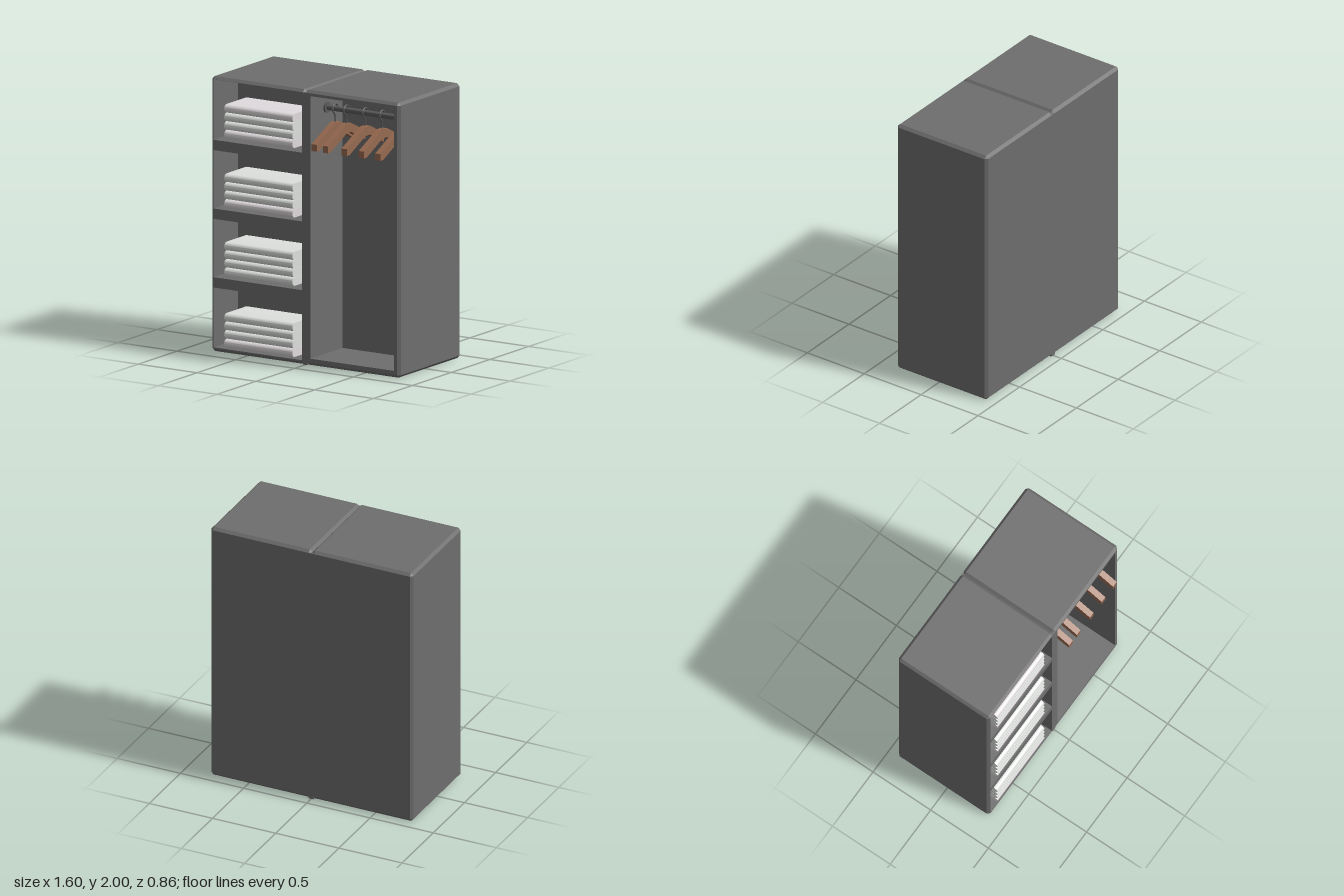
import * as THREE from 'three';
import { toCreasedNormals } from 'three/addons/utils/BufferGeometryUtils.js';

const FRONT = 0.365, BACK = -0.43, C = 0.02; // C: chamfer of the cabinet edges
const mat = (name, color) => Object.assign(new THREE.MeshStandardMaterial({ color }), { name });

function add(parent, name, geometry, material, x = 0, y = 0, z = 0) {
  const mesh = new THREE.Mesh(geometry, material);
  mesh.name = name;
  mesh.position.set(x, y, z);
  parent.add(mesh);
  return mesh;
}

// Box between two corners
function boxBetween(x0, x1, y0, y1, z0, z1) {
  return new THREE.BoxGeometry(x1 - x0, y1 - y0, z1 - z0)
    .translate((x0 + x1) / 2, (y0 + y1) / 2, (z0 + z1) / 2);
}

function rectPath(Type, x0, x1, y0, y1) {
  return new Type([[x0, y0], [x1, y0], [x1, y1], [x0, y1]].map(p => new THREE.Vector2(...p)));
}

// Chamfered box, open at the front, lofted from four rings
function chamferedShell(x0, x1, y0, y1) {
  const a = x0 + C, b = x1 - C, c = y0 + C, d = y1 - C;
  const full = [[x1, c], [x1, d], [b, y1], [a, y1], [x0, d], [x0, c], [a, y0], [b, y0]];
  const inset = [[b, c], [b, d], [b, d], [a, d], [a, d], [a, c], [a, c], [b, c]];
  const rings = [[inset, BACK], [full, BACK + C], [full, FRONT - C], [inset, FRONT]];
  const pos = [], index = [0, 5, 3, 0, 3, 1];
  for (const [ring, z] of rings) for (const [x, y] of ring) pos.push(x, y, z);
  for (let i = 0; i < 3; i++) {
    for (let j = 0; j < 8; j++) {
      const k = (j + 1) % 8, p = i * 8, q = p + 8;
      index.push(p + j, p + k, q + k, p + j, q + k, q + j);
    }
  }
  const g = new THREE.BufferGeometry();
  g.setAttribute('position', new THREE.Float32BufferAttribute(pos, 3));
  g.setIndex(index);
  const flat = g.toNonIndexed();
  flat.computeVertexNormals();
  return flat;
}

// One cabinet unit: outer shell, front frame with openings, inner back panel
function cabinetUnit(name, x0, x1, openings, depth, material) {
  const unit = new THREE.Group();
  unit.name = name;
  add(unit, 'shell', chamferedShell(x0, x1, 0, 2), material);
  const face = rectPath(THREE.Shape, x0 + C, x1 - C, C, 2 - C);
  for (const o of openings) face.holes.push(rectPath(THREE.Path, ...o));
  const frame = new THREE.ExtrudeGeometry(face, { depth, bevelEnabled: false });
  add(unit, 'frameAndShelves', frame, material, 0, 0, FRONT - depth);
  const z = FRONT - depth;
  add(unit, 'innerBack', boxBetween(x0 + C, x1 - C, C, 2 - C, z - 0.02, z), material);
  return unit;
}

// Extrude a (z, y) profile along x, centred
function extrudeX(shape, width) {
  return new THREE.ExtrudeGeometry(shape, { depth: width, bevelEnabled: false, curveSegments: 10 })
    .translate(0, 0, -width / 2).rotateY(-Math.PI / 2);
}

export function createModel() {
  const model = new THREE.Group();
  model.name = 'wardrobe';
  const grey = mat('cabinetGrey', 0x6e6e6e);
  const metal = mat('railGrey', 0x5c5c5c);
  const wood = mat('hangerWood', 0x96694f);
  const towelA = mat('towelWhite', 0xdde0dd);
  const towelB = mat('towelBlush', 0xe0dbde);

  // Cabinet: shelf unit and hanging unit, joined by a post that leaves a groove on top
  const shelfOpenings = [[0.03, 0.465], [0.54, 0.965], [1.04, 1.465], [1.54, 1.979]]
    .map(([y0, y1]) => [-0.779, -0.025, y0, y1]);
  model.add(cabinetUnit('shelfUnit', -0.8, 0, shelfOpenings, 0.315, grey));
  model.add(cabinetUnit('hangingUnit', 0, 0.8, [[0.045, 0.755, 0.05, 1.96]], 0.415, grey));
  add(model, 'centrePost', boxBetween(-C, C, 0, 2 - C, BACK, FRONT), grey);

  // Folded towels: rounded front fold, four to a stack
  const h = 0.061, r = h / 2;
  const fold = new THREE.Shape();
  fold.moveTo(-0.285, 0);
  fold.lineTo(-r, 0);
  fold.absarc(-r, r, r, -Math.PI / 2, Math.PI / 2, false);
  fold.lineTo(-0.285, h);
  fold.closePath();
  const towel = toCreasedNormals(extrudeX(fold, 0.58), 0.6);
  [0.037, 0.555, 1.052, 1.557].forEach((y, s) => {
    const stack = new THREE.Group();
    stack.name = 'towelStack';
    for (let i = 0; i < 4; i++) {
      const blush = (i === 0 && s !== 1) || (i === 3 && s === 3);
      add(stack, 'towel', towel, blush ? towelB : towelA, -0.4, y + i * 0.0625, 0.362);
    }
    model.add(stack);
  });

  // Clothes rail with end flanges
  const railY = 1.842, railZ = 0.16;
  const rod = (rad, len) => new THREE.CylinderGeometry(rad, rad, len, 16).rotateZ(Math.PI / 2);
  add(model, 'rail', toCreasedNormals(rod(0.02, 0.71), 0.6), metal, 0.4, railY, railZ);
  for (const x of [0.052, 0.748]) {
    add(model, 'railFlange', toCreasedNormals(rod(0.04, 0.014), 0.6), metal, x, railY, railZ);
  }

  // Hangers: wooden chevron body and a wire hook over the rail
  const half = [[0.27, 1.63], [0.27, 1.58], [0.235, 1.58], [0.03, 1.68]];
  const outline = [[0.03, 1.745], ...half, ...half.map(([z, y]) => [-z, y]).reverse(), [-0.03, 1.745]];
  const body = extrudeX(new THREE.Shape(outline.map(p => new THREE.Vector2(...p))), 0.045);
  const R = 0.034, hookPoints = [[0, 1.74], [0, 1.785]];
  for (let i = 0; i <= 8; i++) {
    const a = -Math.PI / 2 + 0.4 + i * (Math.PI * 1.5 - 0.4) / 8;
    hookPoints.push([R * Math.cos(a), railY + R * Math.sin(a)]);
  }
  const hookCurve = new THREE.CatmullRomCurve3(hookPoints.map(([z, y]) => new THREE.Vector3(0, y, z)));
  const hook = new THREE.TubeGeometry(hookCurve, 36, 0.006, 8);
  for (const x of [0.12, 0.215, 0.375, 0.52, 0.66]) {
    const hanger = new THREE.Group();
    hanger.name = 'hanger';
    hanger.position.set(x, 0, railZ);
    add(hanger, 'hangerBody', body, wood);
    add(hanger, 'hangerHook', hook, metal);
    model.add(hanger);
  }
  return model;
}
